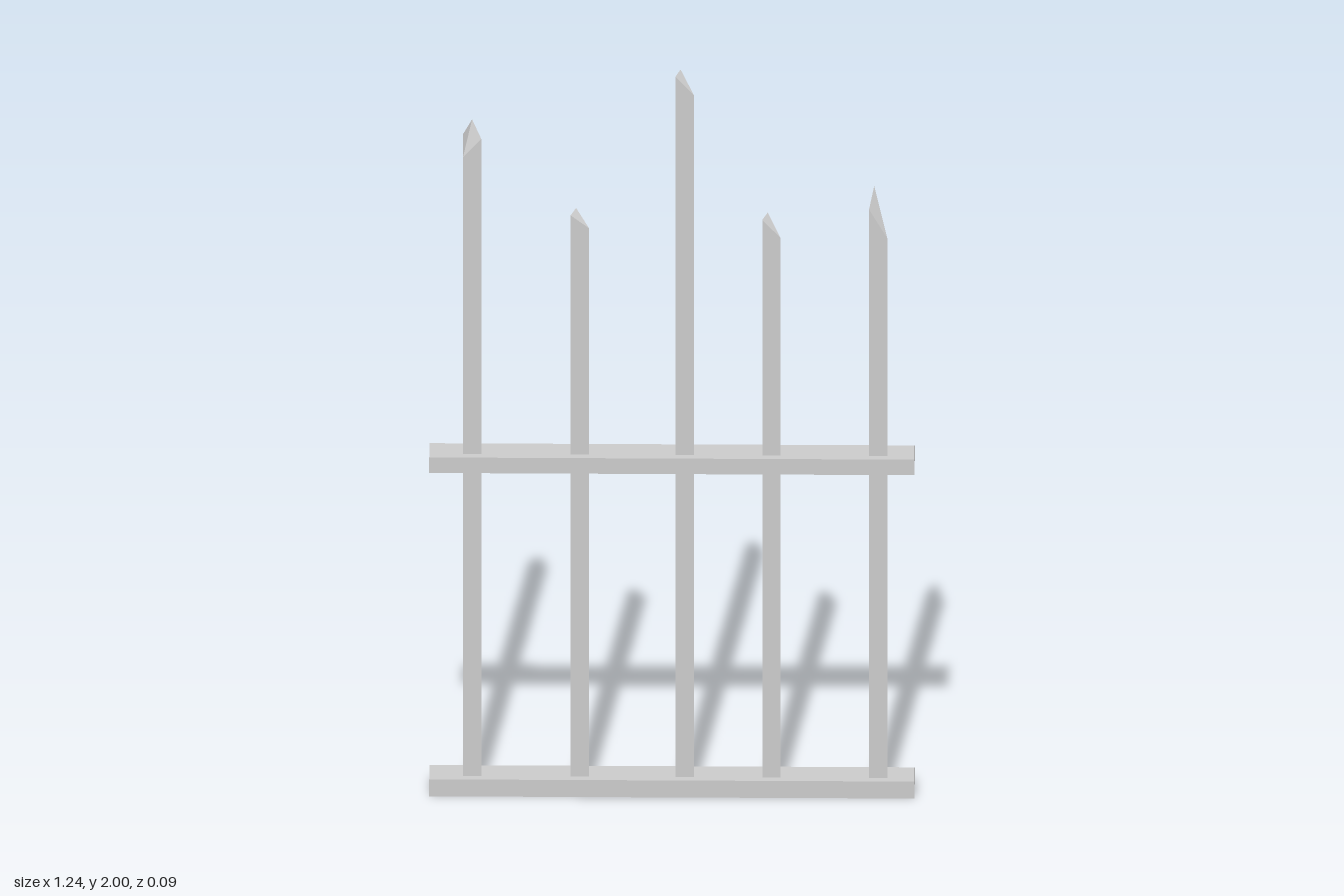
import * as THREE from 'three';

const material = new THREE.MeshStandardMaterial({
  color: 0xcccccc, flatShading: true, side: THREE.DoubleSide,
});

// Horizontal rail; the lower one is open underneath
function makeRail(name, y, height, openBelow) {
  const geo = new THREE.BoxGeometry(1.24, height, 0.095);
  if (openBelow) {
    const index = Array.from(geo.index.array);
    index.splice(18, 6);
    geo.setIndex(index);
    geo.clearGroups();
  }
  const rail = new THREE.Mesh(geo, material);
  rail.name = name;
  rail.position.set(0, y + height / 2, -0.002);
  return rail;
}

// Three-sided stake: right angle at the left front, cut to an uneven point.
// tops = heights of the front-left, front-right and back-left corners
function makePicket({ x, tops, tip }) {
  const corners = [[x, 0.022], [x + 0.047, 0.022], [x, -0.025]];
  const bottom = corners.map(([cx, cz]) => [cx, 0.005, cz]);
  const top = corners.map(([cx, cz], i) => [cx, tops[i], cz]);
  const points = [];
  for (let i = 0; i < 3; i++) {
    const j = (i + 1) % 3;
    points.push(bottom[i], bottom[j], top[j], bottom[i], top[j], top[i]);
    points.push(top[i], top[j], tip);
  }
  const geo = new THREE.BufferGeometry();
  geo.setAttribute('position', new THREE.Float32BufferAttribute(points.flat(), 3));
  geo.computeVertexNormals();
  return new THREE.Mesh(geo, material);
}

export function createModel() {
  const group = new THREE.Group();
  group.name = 'fence';

  group.add(makeRail('lowerRail', 0, 0.047, true));
  group.add(makeRail('upperRail', 0.895, 0.043, false));

  // Pickets from -x to +x
  const pickets = [
    { x: -0.534, tops: [1.76, 1.81, 1.805], tip: [-0.511, 1.855, -0.001] },
    { x: -0.259, tops: [1.6, 1.565, 1.565], tip: [-0.245, 1.615, 0.008] },
    { x: 0.009, tops: [1.985, 1.935, 1.94], tip: [0.022, 2.0, 0.009] },
    { x: 0.231, tops: [1.59, 1.54, 1.555], tip: [0.245, 1.605, 0.008] },
    { x: 0.504, tops: [1.62, 1.54, 1.56], tip: [0.517, 1.68, 0.009] },
  ];
  pickets.forEach((spec, i) => {
    const picket = makePicket(spec);
    picket.name = `picket${i + 1}`;
    group.add(picket);
  });

  return group;
}
